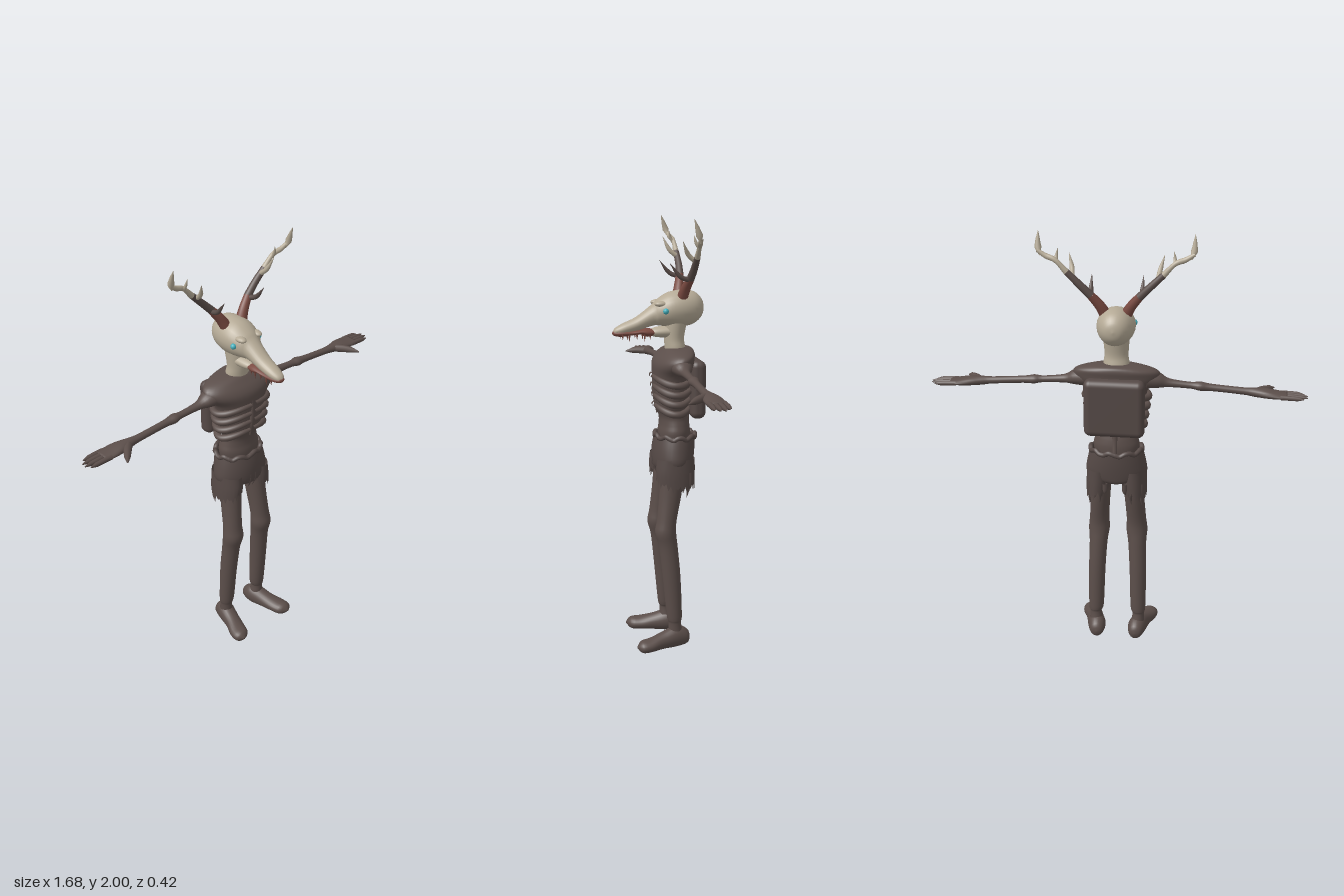
import * as THREE from 'three';
import { RoundedBoxGeometry } from 'three/addons/geometries/RoundedBoxGeometry.js';

const material = (name, color, side = THREE.FrontSide) => {
  const m = new THREE.MeshStandardMaterial({ color, side });
  m.name = name;
  return m;
};

const AXES = { x: ['z', 'x', 'y'], y: ['x', 'y', 'z'], z: ['y', 'z', 'x'] };

// Smooth loft of ellipses along an axis. Each section: [along, centreU, centreV, radiusU, radiusV],
// where (U, V) is (x, z) along y, (y, x) along z and (z, y) along x.
function loft(axis, sections, { sides = 24, steps = 4, open = false, warp } = {}) {
  const [u, a, v] = AXES[axis];
  const at = (i) => sections[Math.max(0, Math.min(sections.length - 1, i))];
  const rows = (sections.length - 1) * steps;
  const positions = [], index = [];
  const p = new THREE.Vector3();
  const cr = (p0, p1, p2, p3, t) => {
    const m0 = (p2 - p0) / 2, m1 = (p3 - p1) / 2, t2 = t * t, t3 = t2 * t;
    return (2 * t3 - 3 * t2 + 1) * p1 + (t3 - 2 * t2 + t) * m0 + (3 * t2 - 2 * t3) * p2 + (t3 - t2) * m1;
  };
  const sample = (r) => {
    const i = Math.min(Math.floor(r / steps), sections.length - 2), t = r / steps - i;
    return at(i).map((_, k) => cr(at(i - 1)[k], at(i)[k], at(i + 1)[k], at(i + 2)[k], t));
  };
  for (let r = 0; r <= rows; r++) {
    const [s, cu, cv, ru, rv] = sample(r);
    for (let j = 0; j < sides; j++) {
      const t = (j / sides) * Math.PI * 2;
      p[u] = cu + Math.max(ru, 0.001) * Math.sin(t);
      p[a] = s;
      p[v] = cv + Math.max(rv, 0.001) * Math.cos(t);
      if (warp) warp(p, r / rows, t, j);
      positions.push(p.x, p.y, p.z);
      if (r < rows) {
        const k = r * sides + j, n = r * sides + ((j + 1) % sides);
        index.push(k, n, n + sides, k, n + sides, k + sides);
      }
    }
  }
  if (!open) {
    for (const r of [0, rows]) {
      const [s, cu, cv] = sample(r), c = positions.length / 3;
      p[u] = cu; p[a] = s; p[v] = cv;
      positions.push(p.x, p.y, p.z);
      for (let j = 0; j < sides; j++) {
        const k = r * sides + j, n = r * sides + ((j + 1) % sides);
        index.push(...(r ? [c, k, n] : [c, n, k]));
      }
    }
  }
  const g = new THREE.BufferGeometry();
  g.setAttribute('position', new THREE.Float32BufferAttribute(positions, 3));
  g.setIndex(index);
  g.computeVertexNormals();
  return g;
}

// Tube along points whose radius follows a list of values
function taper(points, radii, sides = 10, closed = false) {
  const curve = new THREE.CatmullRomCurve3(points.map((q) => new THREE.Vector3(...q)), closed);
  const n = points.length * 5;
  const g = new THREE.TubeGeometry(curve, n, 1, sides, closed);
  const pos = g.attributes.position, p = new THREE.Vector3();
  for (let i = 0; i < pos.count; i++) {
    const f = Math.floor(i / (sides + 1)) / n, c = curve.getPointAt(f);
    const k = f * (radii.length - 1), lo = Math.min(Math.floor(k), Math.max(radii.length - 2, 0));
    const radius = THREE.MathUtils.lerp(radii[lo], radii[lo + 1] ?? radii[lo], k - lo);
    p.fromBufferAttribute(pos, i).sub(c).multiplyScalar(radius).add(c);
    pos.setXYZ(i, p.x, p.y, p.z);
  }
  return g;
}

function mirrored(geometry) {
  const g = geometry.clone().scale(-1, 1, 1), idx = g.index.array;
  for (let i = 0; i < idx.length; i += 3) [idx[i], idx[i + 1]] = [idx[i + 1], idx[i]];
  const n = g.attributes.normal, src = geometry.attributes.normal;
  for (let i = 0; i < n.count; i++) n.setXYZ(i, -src.getX(i), src.getY(i), src.getZ(i));
  return g;
}

export function createModel() {
  const model = new THREE.Group();
  const skin = material('dark hide', 0x5b4e4a);
  const cloth = material('dark cloth', 0x554946, THREE.DoubleSide);
  const bone = material('bone', 0xb5aa96);
  const gum = material('red brown', 0x7a4a41);
  const teal = material('teal', 0x45b0bd);

  const add = (name, geometry, mat) => {
    const m = new THREE.Mesh(geometry, mat);
    m.name = name;
    model.add(m);
  };
  const pair = (name, geometry, mat) => {
    add('left ' + name, geometry, mat);
    add('right ' + name, mirrored(geometry), mat);
  };

  // Skull with long drooping snout, lower jaw and neck
  add('skull', loft('z', [
    [-0.21, 1.6, 0, 0.004, 0.004], [-0.2, 1.6, 0, 0.04, 0.038], [-0.165, 1.6, 0, 0.072, 0.068],
    [-0.11, 1.597, 0, 0.083, 0.083], [-0.05, 1.593, 0, 0.078, 0.082], [0, 1.582, 0, 0.06, 0.064],
    [0.03, 1.567, 0, 0.047, 0.047], [0.1, 1.53, 0, 0.032, 0.038], [0.16, 1.51, 0, 0.025, 0.032],
    [0.195, 1.5, 0, 0.015, 0.02], [0.205, 1.497, 0, 0.003, 0.003]]), bone);
  add('lower jaw', loft('z', [
    [-0.08, 1.495, 0, 0.03, 0.045], [-0.02, 1.493, 0, 0.026, 0.042], [0.02, 1.492, 0, 0.02, 0.034],
    [0.04, 1.492, 0, 0.008, 0.02]]), bone);
  add('neck', loft('y', [
    [1.37, 0, -0.085, 0.055, 0.05], [1.42, 0, -0.08, 0.058, 0.047], [1.46, 0, -0.075, 0.053, 0.045],
    [1.51, 0, -0.078, 0.056, 0.05], [1.56, 0, -0.085, 0.06, 0.055]]), bone);
  pair('brow', new THREE.SphereGeometry(0.022, 16, 10).scale(0.9, 0.6, 1.5).translate(0.045, 1.622, -0.008), bone);
  pair('eye', new THREE.SphereGeometry(0.013, 16, 10).translate(0.073, 1.592, -0.022), teal);

  // Gums and hanging teeth
  add('gum', loft('z', [
    [0.01, 1.492, 0, 0.012, 0.03], [0.05, 1.492, 0, 0.019, 0.038], [0.08, 1.496, 0, 0.012, 0.037],
    [0.12, 1.492, 0, 0.012, 0.034], [0.17, 1.491, 0, 0.016, 0.03], [0.2, 1.491, 0, 0.011, 0.018],
    [0.208, 1.492, 0, 0.003, 0.004]]), gum);
  [0.04, 0.065, 0.1, 0.135, 0.165].forEach((z, i) => {
    const h = i % 2 ? 0.04 : 0.03;
    pair('tooth', new THREE.ConeGeometry(0.007, h, 8).rotateX(Math.PI).translate(0.026, 1.492 - h / 2, z), gum);
  });

  // Antlers: coloured lengths, blade tips and tines
  pair('antler base', taper([[0.04, 1.64, -0.1], [0.068, 1.69, -0.112], [0.105, 1.737, -0.125]], [0.027, 0.022, 0.018]), gum);
  pair('antler beam', taper([[0.103, 1.735, -0.125], [0.15, 1.782, -0.13], [0.205, 1.835, -0.13]], [0.018, 0.016, 0.014]), skin);
  pair('antler branch', taper([[0.203, 1.833, -0.13], [0.255, 1.885, -0.127], [0.295, 1.9, -0.12], [0.332, 1.922, -0.115]],
    [0.014, 0.01, 0.012, 0.008]), bone);
  pair('antler tip', taper([[0.318, 1.9, -0.117], [0.328, 1.93, -0.108], [0.331, 2, -0.085]], [0.003, 0.015, 0.009, 0.0005]), bone);
  pair('lower tine', taper([[0.105, 1.73, -0.125], [0.11, 1.745, -0.08], [0.112, 1.805, -0.03]], [0.012, 0.01, 0.0005]), skin);
  pair('middle tine', taper([[0.182, 1.815, -0.13], [0.187, 1.845, -0.095], [0.204, 1.905, -0.066]], [0.011, 0.01, 0.0005]), bone);
  pair('outer tine', taper([[0.25, 1.875, -0.127], [0.25, 1.9, -0.112], [0.245, 1.93, -0.105]], [0.008, 0.007, 0.0005]), bone);

  // Gaunt torso, ribs and breastbone
  add('torso', loft('y', [
    [0.96, 0, -0.075, 0.09, 0.07], [1.03, 0, -0.075, 0.105, 0.073], [1.07, 0, -0.075, 0.097, 0.068],
    [1.11, 0, -0.07, 0.09, 0.065], [1.16, 0, -0.065, 0.112, 0.077], [1.23, 0, -0.065, 0.125, 0.083],
    [1.3, 0, -0.065, 0.14, 0.088], [1.345, 0, -0.068, 0.182, 0.09], [1.375, 0, -0.075, 0.195, 0.083],
    [1.4, 0, -0.088, 0.175, 0.073], [1.418, 0, -0.095, 0.11, 0.06], [1.425, 0, -0.095, 0.04, 0.04]], { sides: 36 }), skin);
  [1.145, 1.19, 1.235, 1.28].forEach((y, i) => {
    const rx = 0.125 + i * 0.006, rz = 0.078 + i * 0.004, path = [];
    for (let k = 0; k <= 8; k++) {
      const t = 0.08 + (k / 8) * 2.7;
      path.push([rx * Math.sin(t), y + 0.014 * Math.cos(t * 2), -0.065 + rz * Math.cos(t)]);
    }
    pair('rib', taper(path, [0.01, 0.013, 0.016, 0.016, 0.014, 0.01]), skin);
  });
  add('breastbone', taper([[0, 1.12, 0.004], [0, 1.22, 0.016], [0, 1.33, 0.02]], [0.003, 0.012, 0.003]), skin);
  add('spine', taper([[0, 1, -0.145], [0, 1.1, -0.133], [0, 1.2, -0.148]], [0.012, 0.014, 0.012]), skin);

  // Hide pad on the back
  add('back pad', new RoundedBoxGeometry(0.27, 0.265, 0.07, 5, 0.03).translate(0, 1.24, -0.163), cloth);

  // Thin arms, hands, fingers and thumbs
  pair('arm', loft('x', [
    [0.13, -0.075, 1.355, 0.055, 0.045], [0.19, -0.075, 1.348, 0.04, 0.033], [0.235, -0.076, 1.338, 0.021, 0.019],
    [0.33, -0.077, 1.331, 0.016, 0.015], [0.37, -0.077, 1.329, 0.025, 0.02], [0.42, -0.077, 1.325, 0.017, 0.016],
    [0.56, -0.077, 1.315, 0.017, 0.016], [0.61, -0.078, 1.312, 0.024, 0.02], [0.66, -0.08, 1.31, 0.038, 0.02],
    [0.71, -0.082, 1.306, 0.043, 0.015], [0.75, -0.082, 1.304, 0.041, 0.011]], { sides: 18 }), skin);
  for (let i = 0; i < 4; i++) {
    const z = -0.114 + i * 0.021, end = [0.825, 0.84, 0.838, 0.82][3 - i];
    pair('finger', taper([[0.72, 1.305, z], [0.78, 1.303, z], [end, 1.3, z]], [0.011, 0.011, 0.011, 0.01, 0.002], 8), skin);
  }
  pair('thumb', taper([[0.615, 1.312, -0.075], [0.655, 1.31, -0.03], [0.695, 1.3, 0.024]], [0.018, 0.018, 0.015, 0.002]), skin);

  // Legs and splayed feet
  pair('leg', loft('y', [
    [0.06, 0.1, -0.065, 0.035, 0.037], [0.125, 0.105, -0.06, 0.028, 0.029], [0.16, 0.102, -0.058, 0.036, 0.036],
    [0.35, 0.099, -0.045, 0.04, 0.042], [0.5, 0.093, -0.03, 0.043, 0.044], [0.57, 0.09, -0.018, 0.05, 0.049],
    [0.63, 0.088, -0.024, 0.046, 0.046], [0.75, 0.08, -0.042, 0.046, 0.052], [0.92, 0.07, -0.06, 0.05, 0.06]]), skin);
  pair('foot', loft('z', [
    [-0.135, 0.045, 0.093, 0.004, 0.004], [-0.122, 0.047, 0.095, 0.034, 0.03], [-0.07, 0.053, 0.1, 0.052, 0.044],
    [0, 0.043, 0.117, 0.04, 0.042], [0.06, 0.034, 0.137, 0.031, 0.046], [0.105, 0.032, 0.146, 0.027, 0.038],
    [0.128, 0.032, 0.15, 0.004, 0.005]]), skin);

  // Ragged shorts: open-topped pelvis, torn sleeves and rolled waistband
  add('shorts', loft('y', [
    [0.855, 0, -0.068, 0.02, 0.07], [0.868, 0, -0.068, 0.11, 0.088], [0.9, 0, -0.068, 0.14, 0.095],
    [0.96, 0, -0.072, 0.133, 0.097], [1.02, 0, -0.078, 0.118, 0.092]], { sides: 36, open: true }), cloth);
  pair('shorts leg', loft('y', [
    [0.81, 0.084, -0.066, 0.056, 0.088], [0.86, 0.081, -0.066, 0.059, 0.09], [0.92, 0.078, -0.068, 0.058, 0.088]], {
    sides: 48, open: true,
    warp: (p, f, t, j) => {
      const jag = [0.0, 0.016, -0.014, 0.012, -0.02, 0.006][j % 6];
      p.y += (1 - f) * (jag - 0.026 * Math.sin(t) + 0.012 * Math.cos(t));
    },
  }), cloth);
  const band = [];
  for (let k = 0; k < 30; k++) {
    const t = (k / 30) * Math.PI * 2;
    band.push([0.117 * Math.sin(t), 1.015 + 0.007 * Math.sin(t * 9), -0.08 + 0.091 * Math.cos(t)]);
  }
  add('waistband', taper(band, [0.011, 0.011], 8, true), cloth);

  // Hanging torn strips, longest at the back
  for (let k = 0; k < 4; k++) {
    const x = 0.045 + k * 0.024, drop = [0.8, 0.75, 0.77, 0.74][k], z = -0.145 + k * 0.007;
    pair('back tatter', taper([[x, 0.86, z], [x, 0.82, z], [x + 0.004, drop, z + 0.015]], [0.012, 0.011, 0.001], 6), cloth);
  }
  pair('front tatter', taper([[0.014, 0.92, 0.022], [0.015, 0.88, 0.018], [0.012, 0.835, 0.005]], [0.006, 0.008, 0.001], 6), cloth);

  return model;
}
